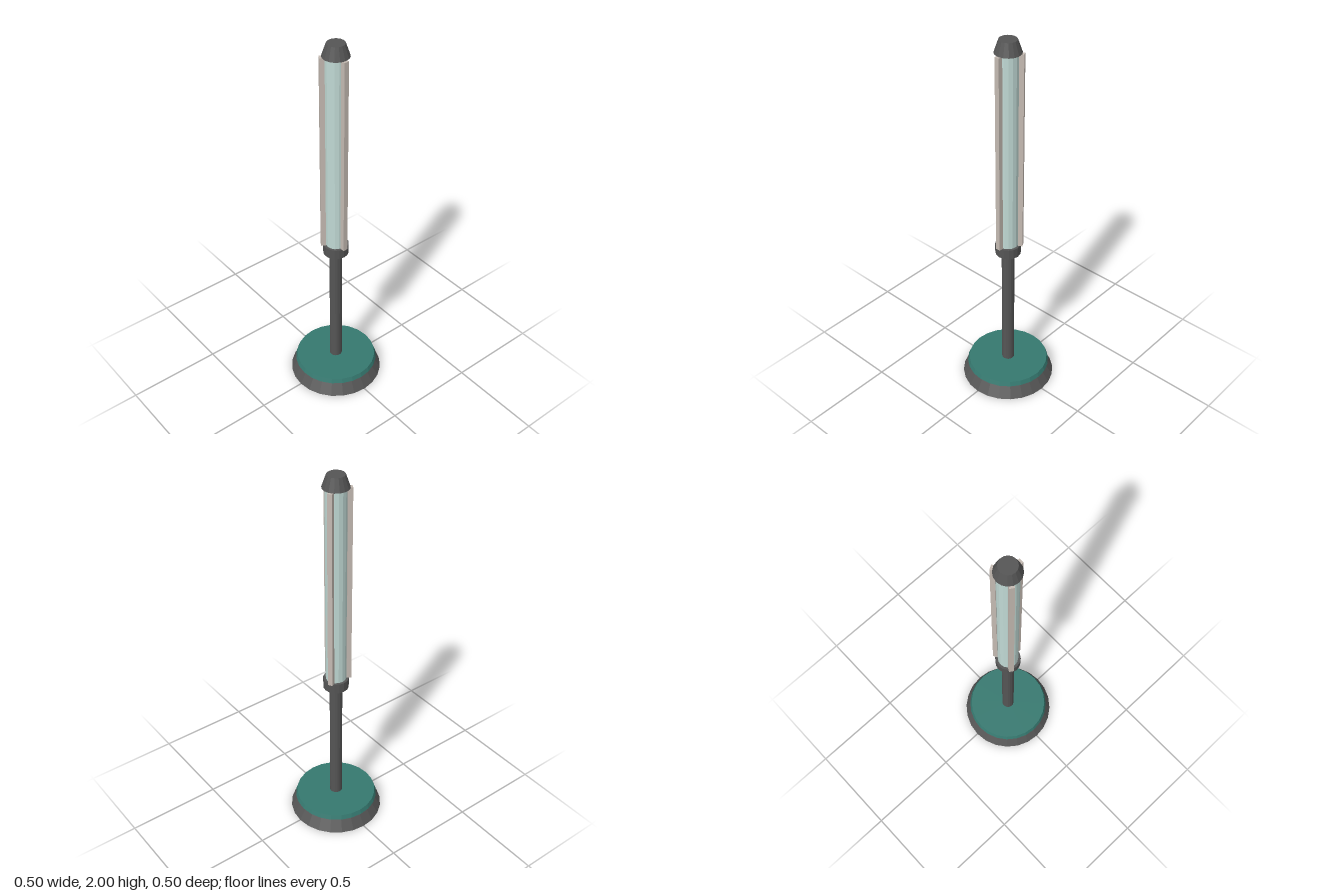
import * as THREE from 'three';

const flat = (name, color) => {
  const m = new THREE.MeshStandardMaterial({ color, flatShading: true });
  m.name = name;
  return m;
};

export function createModel() {
  const model = new THREE.Group();
  model.name = 'floorLamp';

  const darkMetal = flat('dark metal', 0x555555);
  const teal = flat('teal', 0x35786f);
  const glass = flat('pale glass', 0xc0d9d4);
  const trim = flat('warm grey trim', 0xc4bab2);

  // Upright cylinder or cone between two heights
  const post = (name, rBottom, rTop, y0, y1, sides, material) => {
    const mesh = new THREE.Mesh(new THREE.CylinderGeometry(rTop, rBottom, y1 - y0, sides), material);
    mesh.position.y = (y0 + y1) / 2;
    mesh.name = name;
    model.add(mesh);
  };

  // Weighted foot and its coloured plate
  post('base', 0.248, 0.205, 0, 0.072, 24, darkMetal);
  post('basePlate', 0.223, 0.214, 0.072, 0.096, 24, teal);

  // Stem, collar, light tube and cap
  post('stem', 0.033, 0.033, 0.096, 0.815, 16, darkMetal);
  post('collar', 0.066, 0.066, 0.815, 0.87, 16, darkMetal);
  post('lightTube', 0.053, 0.053, 0.87, 1.936, 16, glass);
  post('cap', 0.067, 0.045, 1.936, 2, 16, darkMetal);

  // Three upright strips around the tube, one facing the front
  for (let i = 0; i < 3; i++) {
    const angle = (i * Math.PI * 2) / 3;
    const strip = new THREE.Mesh(new THREE.BoxGeometry(0.025, 1.066, 0.024), trim);
    strip.position.set(Math.sin(angle) * 0.065, 1.403, Math.cos(angle) * 0.065);
    strip.rotation.y = angle;
    strip.name = 'strip' + (i + 1);
    model.add(strip);
  }

  return model;
}
